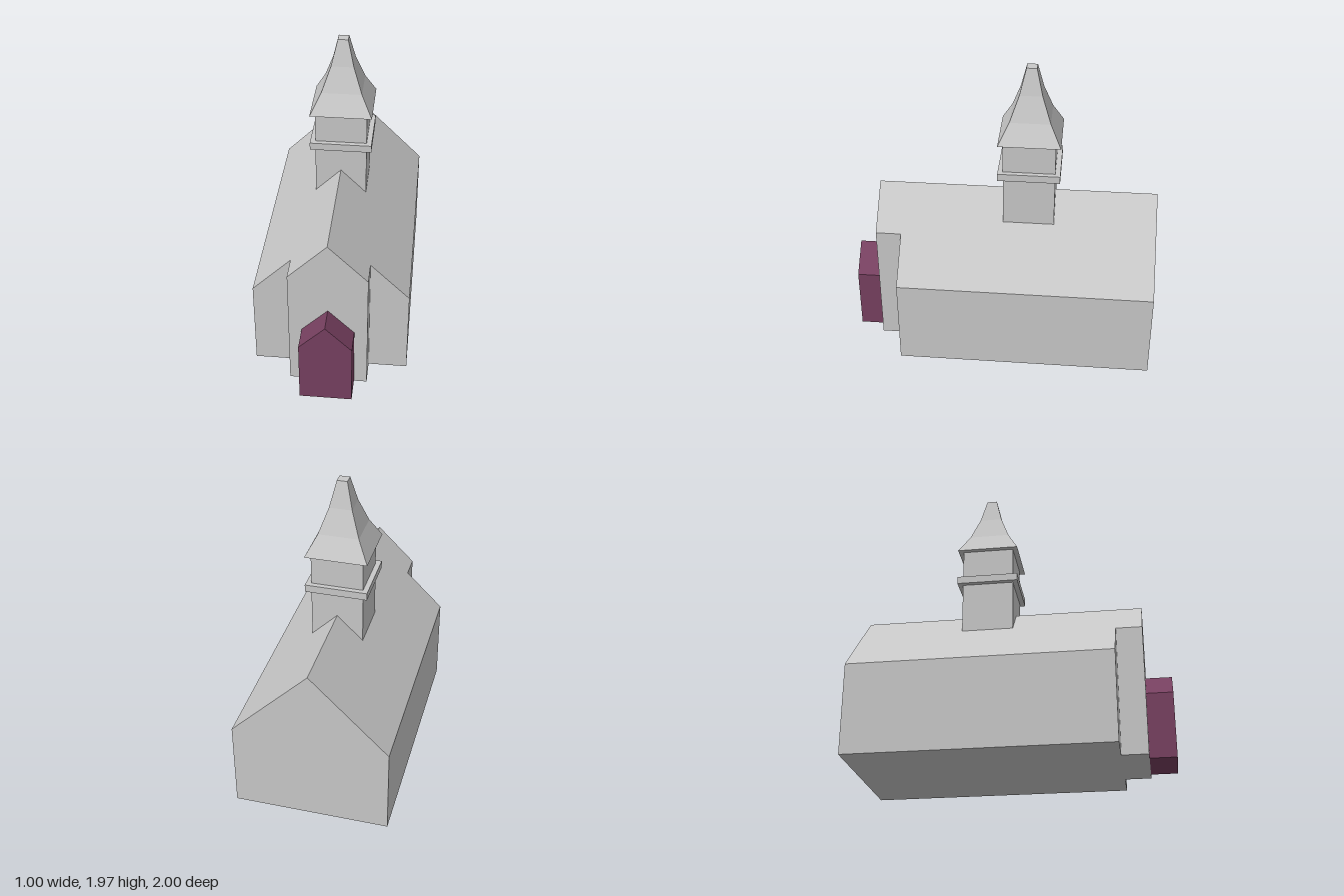
import * as THREE from 'three';

const stone = new THREE.MeshStandardMaterial({ color: 0xc8c8c8 });
stone.name = 'light grey stone';
const plum = new THREE.MeshStandardMaterial({ color: 0x774060 });
plum.name = 'plum';

export function createModel() {
  const group = new THREE.Group();

  function add(name, geometry, material) {
    const mesh = new THREE.Mesh(geometry, material);
    mesh.name = name;
    group.add(mesh);
    return mesh;
  }

  // Gabled prism running along z from back to front
  function gabled(name, halfWidth, eave, ridge, back, front, material) {
    const shape = new THREE.Shape([
      new THREE.Vector2(-halfWidth, 0),
      new THREE.Vector2(halfWidth, 0),
      new THREE.Vector2(halfWidth, eave),
      new THREE.Vector2(0, ridge),
      new THREE.Vector2(-halfWidth, eave),
    ]);
    const geometry = new THREE.ExtrudeGeometry(shape, { depth: front - back, bevelEnabled: false });
    add(name, geometry, material).position.z = back;
  }

  gabled('nave', 0.5, 0.585, 1.085, -1, 0.667, stone);
  gabled('vestibule', 0.25, 0.835, 1.085, 0.667, 0.833, stone);
  gabled('porch', 0.167, 0.418, 0.585, 0.833, 1, plum);

  // Square tower astride the ridge, with a projecting band
  const towerZ = -0.167;
  function block(name, halfWidth, bottom, top) {
    const geometry = new THREE.BoxGeometry(halfWidth * 2, top - bottom, halfWidth * 2);
    add(name, geometry, stone).position.set(0, (bottom + top) / 2, towerZ);
  }
  block('tower', 0.167, 0.918, 1.502);
  block('towerBand', 0.2, 1.253, 1.302);

  // Flared four-sided spire with a flat tip; profile is half width, height
  const profile = [[0, 1.502], [0.2, 1.502], [0.13, 1.638], [0.073, 1.8], [0.033, 1.97], [0, 1.97]]
    .map(([half, y]) => new THREE.Vector2(half * Math.SQRT2, y));
  const spire = new THREE.LatheGeometry(profile, 4).rotateY(Math.PI / 4).toNonIndexed();
  spire.computeVertexNormals();
  add('spire', spire, stone).position.z = towerZ;

  return group;
}
